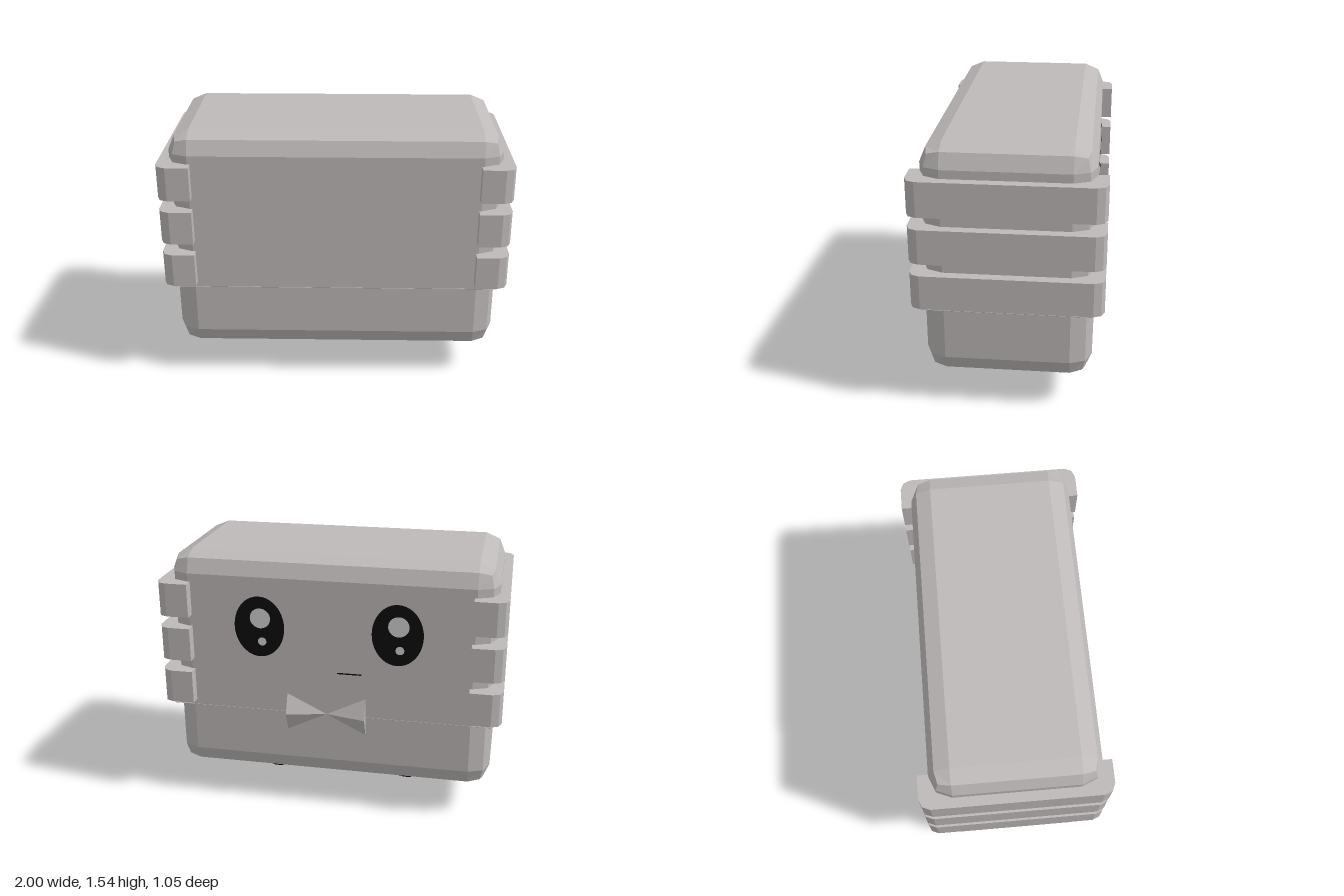
import * as THREE from 'three';
import { RoundedBoxGeometry } from 'three/addons/geometries/RoundedBoxGeometry.js';

const grey = new THREE.MeshStandardMaterial({ color: 0xbfbaba });
grey.name = 'warm grey';
const black = new THREE.MeshStandardMaterial({ color: 0x0b0b0b });
black.name = 'black';
const shine = new THREE.MeshStandardMaterial({ color: 0xd2d0d0 });
shine.name = 'eye shine';

// Flat-faceted copy of a geometry
function faceted(geometry) {
  const g = geometry.index ? geometry.toNonIndexed() : geometry;
  g.computeVertexNormals();
  return g;
}

export function createModel() {
  const model = new THREE.Group();
  const add = (name, geometry, material, x = 0, y = 0, z = 0, parent = model) => {
    const mesh = new THREE.Mesh(geometry, material);
    mesh.name = name;
    mesh.position.set(x, y, z);
    parent.add(mesh);
    return mesh;
  };

  // Chamfered body with a thin seam around it
  add('body', faceted(new RoundedBoxGeometry(1.89, 1.35, 0.93, 1, 0.12)), grey, 0, 0.863, 0.002);
  add('seam', faceted(new RoundedBoxGeometry(1.892, 0.004, 0.932, 1, 0.002)), grey, 0, 0.602, 0.002);

  // Three wrap-around bands on each side
  const outline = [[0.81, -0.525], [0.94, -0.525], [0.982, -0.507], [1, -0.465],
    [1, 0.465], [0.982, 0.507], [0.94, 0.525], [0.81, 0.525]];
  const bandShape = new THREE.Shape(outline.map(([x, z]) => new THREE.Vector2(x, z)));
  const bandGeometry = new THREE.ExtrudeGeometry(bandShape, { depth: 0.198, bevelEnabled: false });
  bandGeometry.rotateX(-Math.PI / 2);
  for (const turn of [0, Math.PI]) {
    for (const y of [0.636, 0.904, 1.172]) {
      add('sideBand', bandGeometry, grey, 0, y, 0).rotation.y = turn;
    }
  }

  // Ball feet
  for (const x of [-0.42, 0.423]) {
    add('foot', new THREE.SphereGeometry(0.176, 40, 28), black, x, 0.176, 0.003);
  }

  // Face on the back wall: oval eyes with two shines each
  const face = new THREE.Group();
  face.name = 'face';
  model.add(face);
  const disc = (name, material, rx, ry, x, y, z) => {
    const mesh = add(name, new THREE.CircleGeometry(1, 40), material, x, y, z, face);
    mesh.scale.set(rx, ry, 1);
    mesh.rotation.y = Math.PI;
  };
  for (const x of [-0.395, 0.405]) {
    disc('eye', black, 0.147, 0.182, x, 1.125, -0.467);
    disc('largeShine', shine, 0.06, 0.06, x - 0.006, 1.177, -0.47);
    disc('smallShine', shine, 0.025, 0.025, x - 0.015, 1.037, -0.47);
  }
  add('mouth', new THREE.BoxGeometry(0.14, 0.006, 0.009), black, -0.12, 0.87, -0.4635, face);

  // Bow tie: two pyramids lying on the wall, meeting at the knot
  for (const side of [-1, 1]) {
    const tip = 0.233 * side;
    const knot = [0, 0, 0], top = [tip, 0.115, 0], low = [tip, -0.115, 0], peak = [tip, 0, -0.053];
    const faces = [[knot, top, peak], [knot, peak, low], [top, low, peak]];
    const corners = faces.flatMap(([a, b, c]) => (side > 0 ? [a, b, c] : [a, c, b])).flat();
    const wing = new THREE.BufferGeometry();
    wing.setAttribute('position', new THREE.Float32BufferAttribute(corners, 3));
    wing.computeVertexNormals();
    add('bowWing', wing, grey, 0.016, 0.605, -0.463, face);
  }
  return model;
}
